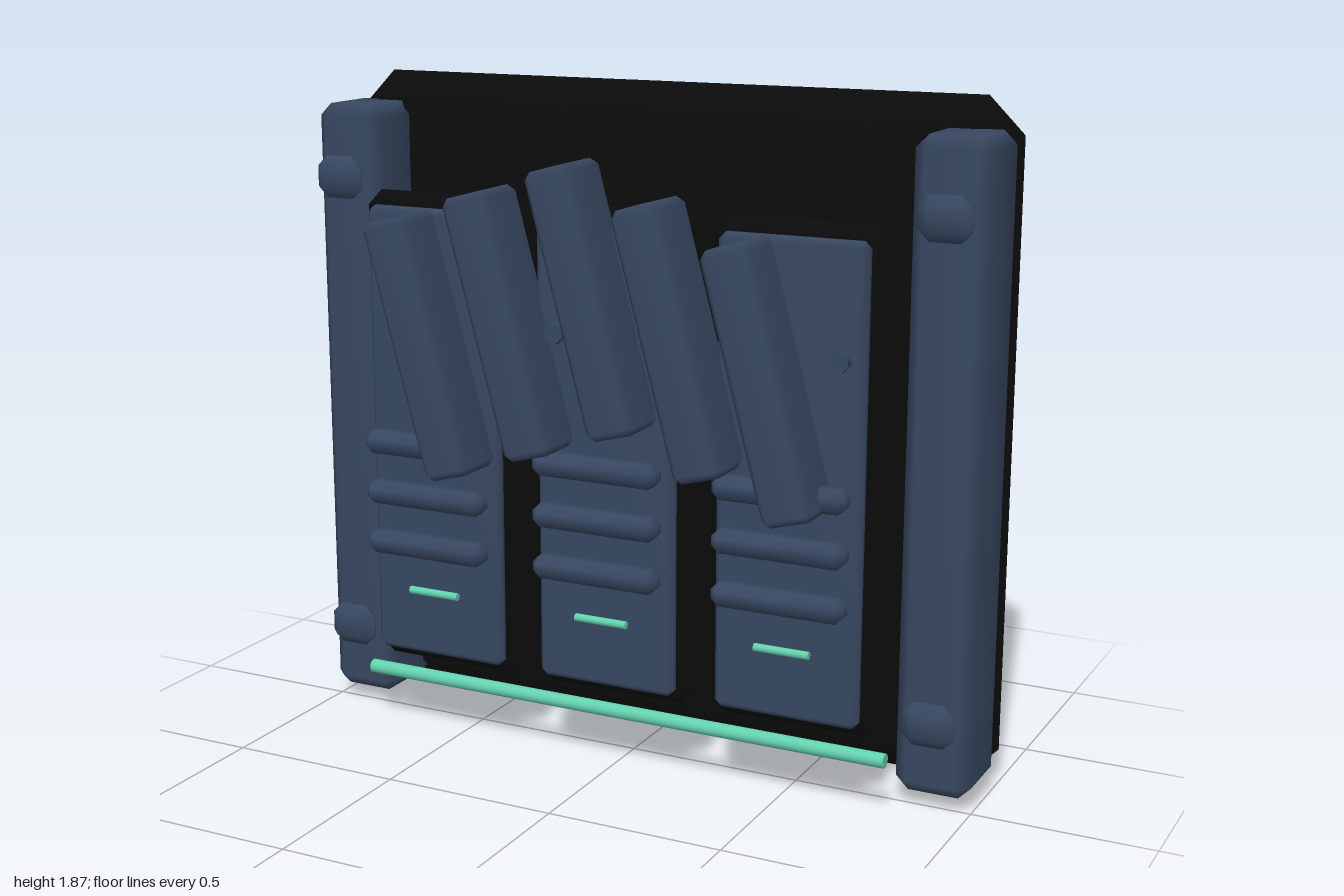
import * as THREE from 'three';
import { ConvexGeometry } from 'three/addons/geometries/ConvexGeometry.js';
import { mergeVertices } from 'three/addons/utils/BufferGeometryUtils.js';

const material = (name, color) => Object.assign(new THREE.MeshStandardMaterial({ color }), { name });

// Box with every edge cut by one bevel, softly shaded
function bevelBox(w, h, d, bevel) {
  const half = new THREE.Vector3(w / 2, h / 2, d / 2);
  const points = [];
  for (const sx of [-1, 1]) for (const sy of [-1, 1]) for (const sz of [-1, 1]) {
    for (let axis = 0; axis < 3; axis++) {
      const p = half.clone().subScalar(bevel);
      p.setComponent(axis, half.getComponent(axis));
      points.push(p.multiply(new THREE.Vector3(sx, sy, sz)));
    }
  }
  const hull = new ConvexGeometry(points);
  hull.deleteAttribute('normal');
  const geometry = mergeVertices(hull, 1e-4);
  geometry.computeVertexNormals();
  return geometry;
}

export function createModel() {
  const group = new THREE.Group();
  group.name = 'wallPanel';
  const black = material('matte black', 0x0b0b0b);
  const slate = material('slate blue', 0x374760);
  const mint = material('mint green', 0x63d0ae);

  const add = (name, geometry, mat, x, y, z) => {
    const mesh = new THREE.Mesh(geometry, mat);
    mesh.name = name;
    mesh.position.set(x, y, z);
    group.add(mesh);
    return mesh;
  };

  // Large backing slab
  add('backPlate', bevelBox(2, 1.87, 0.2, 0.099), black, 0, 0.935, -0.23);

  // Side posts with two clips each
  const postGeo = bevelBox(0.21, 1.75, 0.24, 0.035);
  const clipGeo = bevelBox(0.145, 0.12, 0.066, 0.031);
  for (const [side, s] of [['left', 1], ['right', -1]]) {
    add(side + 'Post', postGeo, slate, s * 0.895, 0.915, -0.08);
    add(side + 'UpperClip', clipGeo, slate, s * 0.897, 1.59, 0.07);
    add(side + 'LowerClip', clipGeo, slate, s * 0.897, 0.258, 0.07);
  }

  // Three bays: dark backing, face panel, rungs, studs and a light mark
  const backingGeo = bevelBox(0.49, 1.36, 0.09, 0.044);
  const panelGeo = bevelBox(0.41, 1.285, 0.05, 0.018);
  const rungGeo = bevelBox(0.37, 0.065, 0.075, 0.02);
  const studGeo = new THREE.CylinderGeometry(0.031, 0.031, 0.03, 6).rotateX(Math.PI / 2);
  const markGeo = new THREE.CylinderGeometry(0.011, 0.011, 0.155, 12).rotateZ(Math.PI / 2);
  for (const x of [-0.533, 0, 0.533]) {
    add('bayBacking', backingGeo, black, x, 0.89, 0.105);
    add('bayPanel', panelGeo, slate, x, 0.892, 0.16);
    for (const y of [0.59, 0.735, 0.88]) add('rung', rungGeo, slate, x, y, 0.227);
    for (const s of [-1, 1]) {
      add('stud', studGeo, slate, x + s * 0.14, 1.232, 0.19).rotation.z = 0.26;
    }
    add('lightMark', markGeo, mint, x, 0.445, 0.2);
  }

  // Leaning slats, highest in the middle
  const slatGeo = bevelBox(0.145, 0.72, 0.182, 0.02);
  for (let i = -2; i <= 2; i++) {
    add('slat', slatGeo, slate, i * 0.25, 1.34 - Math.abs(i) * 0.084, 0.24).rotation.z = 0.265;
  }

  // Glowing rod along the bottom
  const rodGeo = new THREE.CylinderGeometry(0.02, 0.02, 1.6, 16).rotateZ(Math.PI / 2);
  add('lightRod', rodGeo, mint, 0, 0.158, 0.12);

  return group;
}
